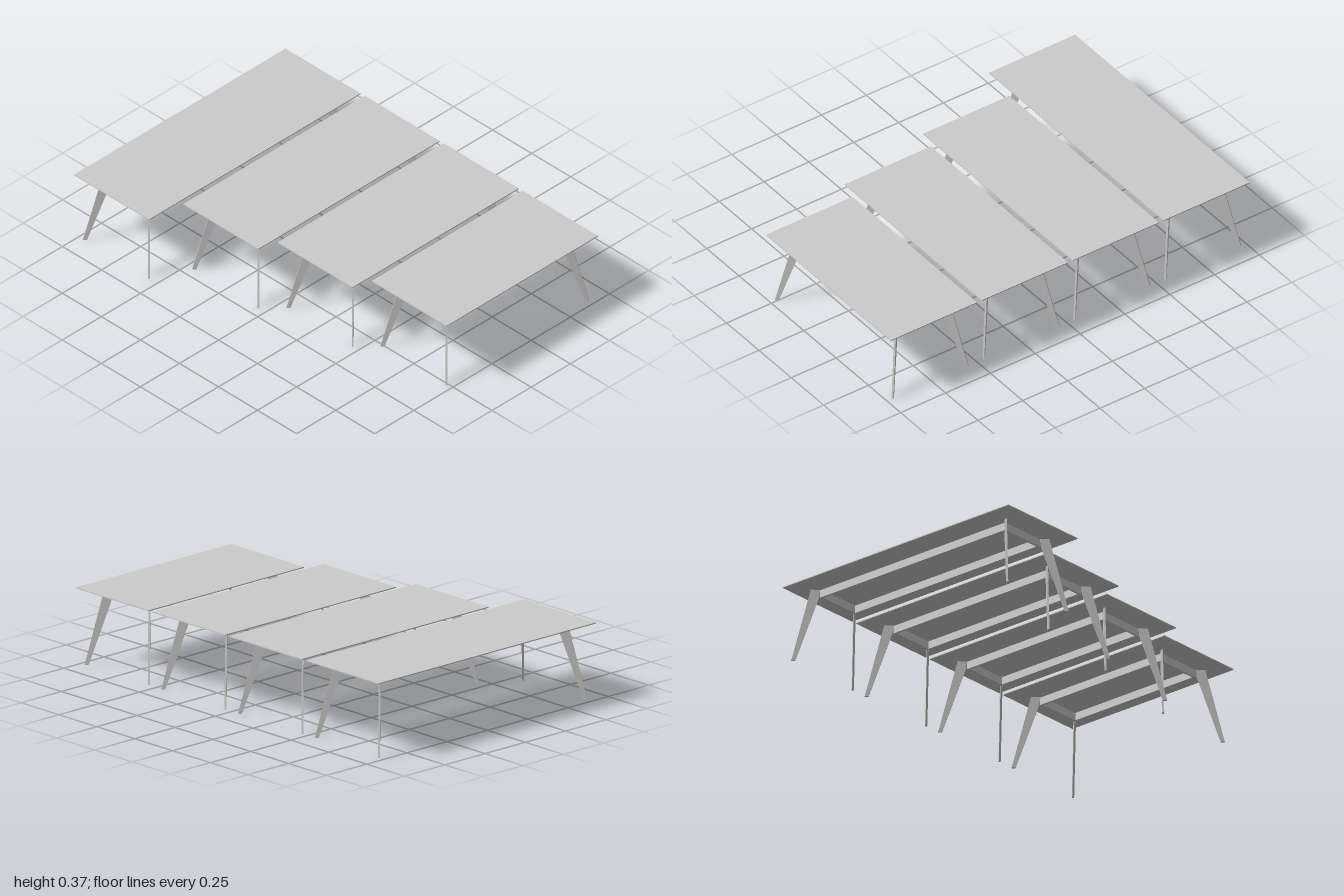
import * as THREE from 'three';

const material = new THREE.MeshStandardMaterial({ color: 0xcccccc });

const DEPTH = 0.48;        // table depth
const HEIGHT = 0.367;      // top surface
const UNDERSIDE = 0.355;   // where apron and legs meet the top
const APRON_BOTTOM = 0.318;
const INSET = 0.12;        // apron set back from the top's edge
const RIGHT_EDGE = 0.675;  // all tables line up on this end

function addMesh(parent, name, geometry) {
  const mesh = new THREE.Mesh(geometry, material);
  mesh.name = name;
  parent.add(mesh);
  return mesh;
}

// Thin slab with a knife edge: full-size upper face, smaller lower face
function topGeometry(length) {
  const thickness = HEIGHT - UNDERSIDE, edge = 0.005, bevel = 0.03;
  const box = new THREE.BoxGeometry(length, thickness, DEPTH, 1, 2, 1);
  const p = box.attributes.position;
  for (let i = 0; i < p.count; i++) {
    const y = p.getY(i);
    if (Math.abs(y) < 1e-5) p.setY(i, thickness / 2 - edge);
    else if (y < 0) {
      p.setX(i, p.getX(i) - Math.sign(p.getX(i)) * bevel);
      p.setZ(i, p.getZ(i) - Math.sign(p.getZ(i)) * bevel);
    }
  }
  const flat = box.toNonIndexed();
  flat.computeVertexNormals();
  return flat.translate(0, HEIGHT - thickness / 2, 0);
}

function rectangle(path, w, h) {
  path.moveTo(-w, -h);
  path.lineTo(w, -h);
  path.lineTo(w, h);
  path.lineTo(-w, h);
  path.closePath();
  return path;
}

// Rectangular frame under the top
function apronGeometry(length) {
  const w = length / 2 - INSET, h = DEPTH / 2 - INSET, wall = 0.012;
  const shape = rectangle(new THREE.Shape(), w, h);
  shape.holes.push(rectangle(new THREE.Path(), w - wall, h - wall));
  return new THREE.ExtrudeGeometry(shape, { depth: UNDERSIDE - APRON_BOTTOM, bevelEnabled: false })
    .rotateX(-Math.PI / 2)
    .translate(0, APRON_BOTTOM, 0);
}

// Flat tapering plate that splays outward along +x
function legGeometry() {
  const thickness = 0.009;
  const shape = new THREE.Shape([
    [0, UNDERSIDE], [0.004, APRON_BOTTOM], [0.112, 0], [0.13, 0], [0.042, UNDERSIDE],
  ].map(([x, y]) => new THREE.Vector2(x, y)));
  return new THREE.ExtrudeGeometry(shape, { depth: thickness, bevelEnabled: false })
    .translate(0, 0, -thickness / 2);
}

function createTable(length) {
  const table = new THREE.Group();
  table.name = 'table';
  addMesh(table, 'tableTop', topGeometry(length));
  addMesh(table, 'apron', apronGeometry(length));

  // One leg on each diagonal
  const leg = legGeometry();
  for (const sx of [-1, 1]) {
    for (const sz of [-1, 1]) {
      const name = (sz > 0 ? 'front' : 'back') + (sx > 0 ? 'Left' : 'Right') + 'Leg';
      const mesh = addMesh(table, name, leg);
      mesh.position.set(sx * (length / 2 - INSET), 0, sz * (DEPTH / 2 - INSET));
      mesh.rotation.y = Math.atan2(-sz, sx);
    }
  }
  return table;
}

export function createModel() {
  const model = new THREE.Group();
  model.name = 'tableSet';

  // Four sizes, longest at the back
  const pitch = (2 - DEPTH) / 3;
  [1.35, 1.157, 1.06, 0.965].forEach((length, i) => {
    const table = createTable(length);
    table.position.set(RIGHT_EDGE - length / 2, 0, -1 + DEPTH / 2 + i * pitch);
    model.add(table);
  });
  return model;
}
